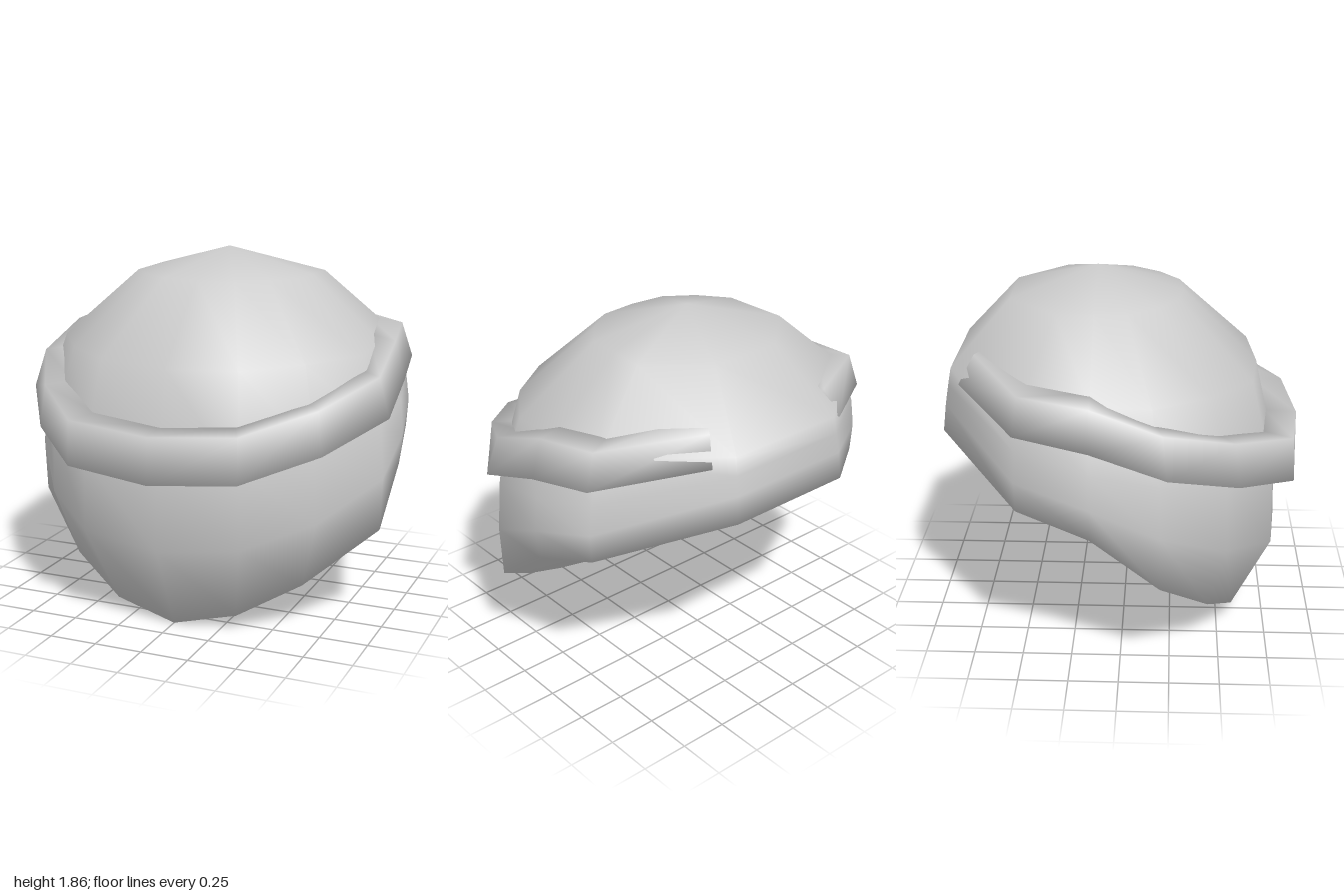
import * as THREE from 'three';
import { mergeVertices } from 'three/addons/utils/BufferGeometryUtils.js';

const CZ = -0.14; // z of the vertical axis through the crown

// Skin a list of rings, each a closed loop of [x, y, z] points.
function loft(rings) {
  const n = rings[0].length, index = [];
  for (let i = 0; i < rings.length - 1; i++) {
    for (let j = 0; j < n; j++) {
      const k = (j + 1) % n;
      const a = i * n + j, b = a + n, c = (i + 1) * n + k, d = i * n + k;
      index.push(a, b, c, a, c, d);
    }
  }
  const g = new THREE.BufferGeometry();
  g.setAttribute('position', new THREE.Float32BufferAttribute(rings.flat(2), 3));
  g.setIndex(index);
  const merged = mergeVertices(g, 1e-4);
  merged.computeVertexNormals();
  return merged;
}

const mirror = ([x, y, z]) => [-x, y, z];
// Complete a half loop that starts on the centre line at the front.
const closeLoop = (half) => [...half, ...half.slice(1).reverse().map(mirror)];
// Scale a plan point about the crown axis.
const at = ([x, z], s, y) => [x * s, y, CZ + (z - CZ) * s];

function makeShell() {
  // Widest outline, front centre to back, left half
  const plan = [[0, 0.81], [0.42, 0.77], [0.73, 0.53], [0.96, 0.2], [0.97, -0.14], [0.91, -0.5], [0.35, -0.92]];
  // Scale and height of every row, column by column
  const rows = [
    [Array(7).fill(0), Array(7).fill(1.86)],
    [[0.46, 0.46, 0.47, 0.48, 0.48, 0.52, 0.56], Array(7).fill(1.73)],
    [[0.87, 0.87, 0.87, 0.87, 0.87, 0.91, 0.94], [1.35, 1.36, 1.37, 1.38, 1.4, 1.4, 1.4]],
    [[0.99, 0.99, 0.99, 0.99, 0.99, 0.98, 0.96], [0.85, 0.88, 0.95, 1.04, 1.1, 1.18, 1.31]],
    [[1, 1, 1, 1.01, 1.005, 1, 0.98], [0.45, 0.5, 0.6, 0.77, 0.92, 1.03, 1.21]],
    [[0.79, 0.79, 0.87, 1, 0.99, 0.99, 1], [0, 0.08, 0.24, 0.5, 0.76, 0.88, 1.07]],
    // Shallow underside
    [Array(7).fill(0.58), [0.32, 0.34, 0.49, 0.65, 0.79, 0.85, 0.92]],
    [Array(7).fill(0), Array(7).fill(0.78)],
  ];
  return loft(rows.map(([s, y]) => closeLoop(plan.map((p, i) => at(p, s[i], y[i])))));
}

function makeBand() {
  // Lower outer edge, front centre to the open end at the back
  const edge = [[0, 0.82, 0.91], [0.45, 0.86, 0.87], [0.77, 0.96, 0.58], [1, 1.09, 0.23],
    [0.975, 1.21, -0.14], [0.92, 1.27, -0.5], [0.43, 1.35, -0.82]];
  // Scale and rise of the outer and inner top edges at each station
  const outer = [[1, 0.24], [0.99, 0.23], [0.97, 0.22], [0.94, 0.2], [0.945, 0.2], [0.94, 0.18], [0.89, 0.14]];
  const inner = [[0.84, 0.25], [0.84, 0.24], [0.83, 0.23], [0.83, 0.22], [0.8, 0.23], [0.76, 0.21], [0.72, 0.19]];
  const section = edge.map(([x, y, z], i) => {
    const p = [x, z], [os, oy] = outer[i], [is, iy] = inner[i];
    return [at(p, 1, y), at(p, os, y + oy), at(p, is, y + iy), at(p, is, y + 0.02)];
  });
  const left = section.slice(1);
  const rings = [...left.map((r) => r.map(mirror)).reverse(), section[0], ...left];
  // Close both ends
  const cap = (r) => {
    const c = [0, 1, 2].map((k) => r.reduce((t, p) => t + p[k], 0) / r.length);
    return r.map(() => c);
  };
  rings.unshift(cap(rings[0]));
  rings.push(cap(rings[rings.length - 1]));
  return loft(rings);
}

export function createModel() {
  const group = new THREE.Group();
  group.name = 'bandedCap';
  const material = new THREE.MeshStandardMaterial({ color: 0xcccccc });
  const add = (name, geometry) => {
    const mesh = new THREE.Mesh(geometry, material);
    mesh.name = name;
    group.add(mesh);
  };
  add('shell', makeShell());
  add('band', makeBand());
  return group;
}
